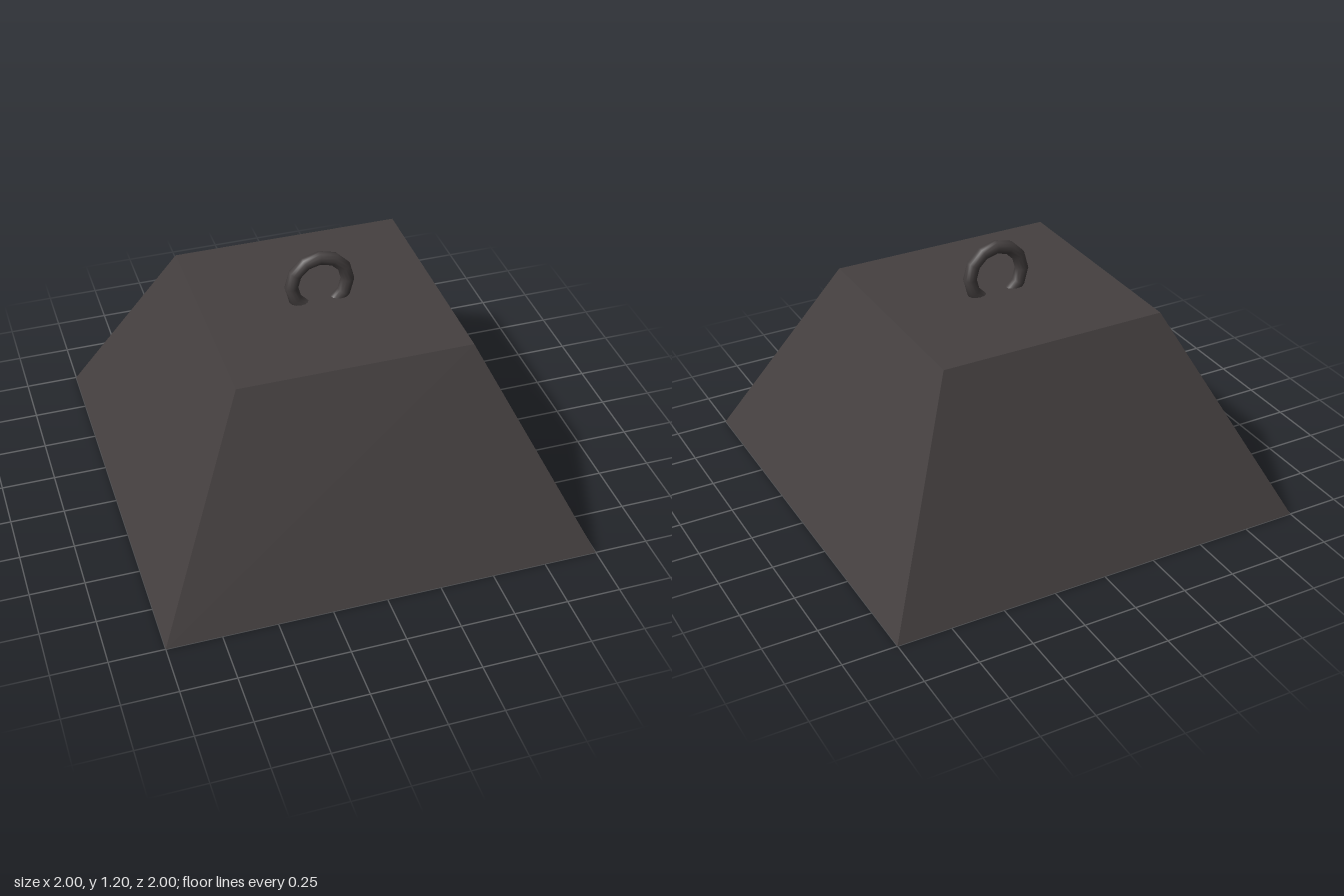
import * as THREE from 'three';

export function createModel() {
  const group = new THREE.Group();
  const iron = new THREE.MeshStandardMaterial({ color: 0x454040 });
  iron.name = 'darkIron';

  const height = 0.95, baseHalf = 1, topHalf = 0.537;

  // Tapered square block: a box with its upper corners drawn inwards
  const blockGeometry = new THREE.BoxGeometry(baseHalf * 2, height, baseHalf * 2);
  blockGeometry.translate(0, height / 2, 0);
  const p = blockGeometry.attributes.position;
  for (let i = 0; i < p.count; i++) {
    if (p.getY(i) > height / 2) {
      p.setX(i, Math.sign(p.getX(i)) * topHalf);
      p.setZ(i, Math.sign(p.getZ(i)) * topHalf);
    }
  }
  blockGeometry.computeVertexNormals();
  const block = new THREE.Mesh(blockGeometry, iron);
  block.name = 'weightBlock';
  group.add(block);

  // Lifting ring, partly sunk into the top
  const ring = new THREE.Mesh(new THREE.TorusGeometry(0.132, 0.031, 12, 12), iron);
  ring.name = 'liftingRing';
  ring.position.y = 1.035;
  group.add(ring);

  return group;
}
